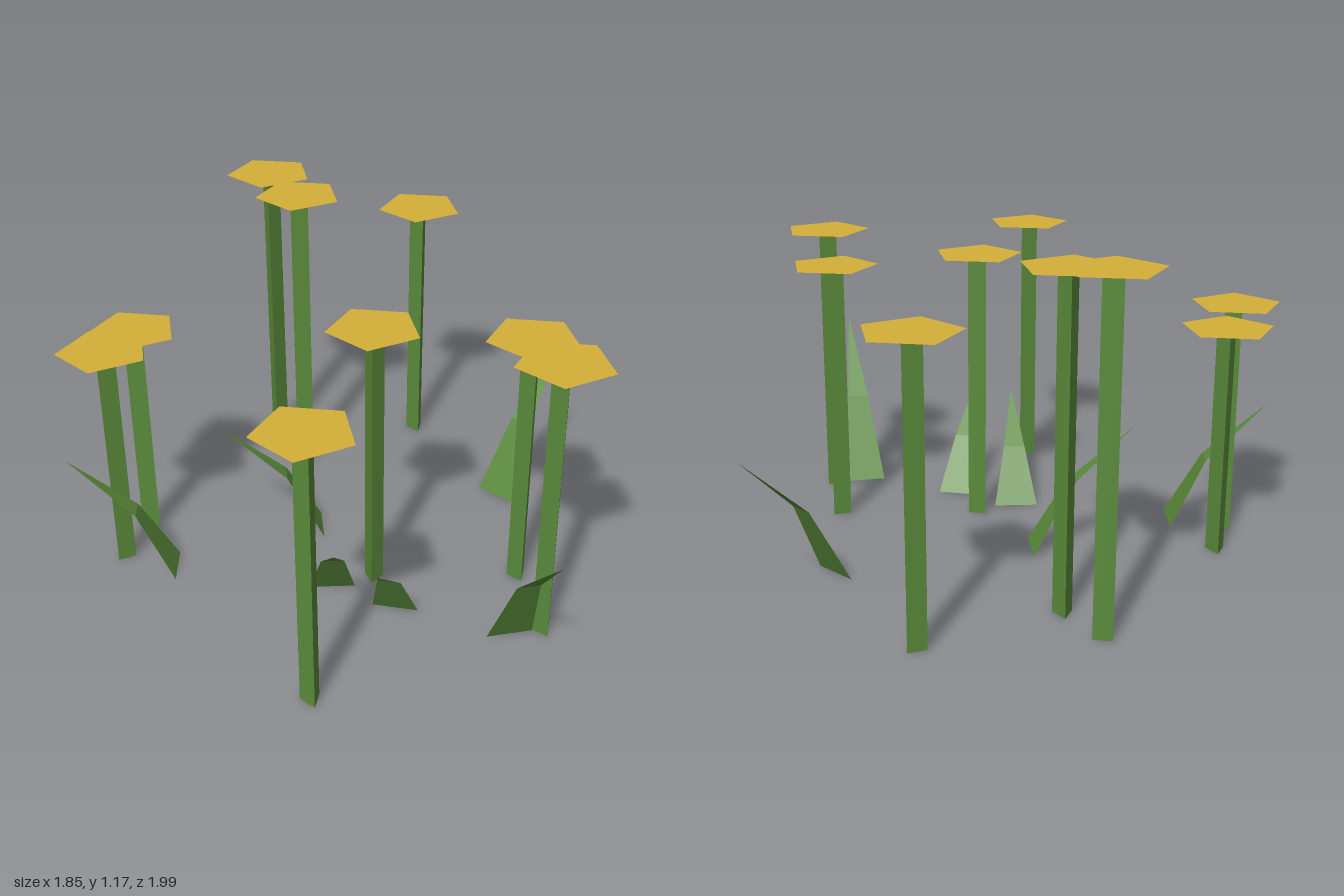
import * as THREE from 'three';

const rad = THREE.MathUtils.degToRad;

// Separate faces so that every facet is shaded flat
function faceted(geometry) {
  const g = geometry.index ? geometry.toNonIndexed() : geometry;
  g.computeVertexNormals();
  return g;
}

// Bent, tapering blade: wide base, half-width bend, pointed tip
function bladeGeometry(bx, bz, tx, tz, height) {
  const dx = tx - bx, dz = tz - bz, len = Math.hypot(dx, dz);
  const sx = -dz / len, sz = dx / len; // sideways direction
  const point = (t, y, half) => [bx + dx * t + sx * half, y, bz + dz * t + sz * half];
  const a = point(0, 0, -0.08), b = point(0, 0, 0.08);
  const c = point(0.36, height * 0.54, -0.04), d = point(0.36, height * 0.54, 0.04);
  const tip = point(1, height, 0);
  const g = new THREE.BufferGeometry();
  const corners = [a, c, b, b, c, d, c, tip, d].flat();
  g.setAttribute('position', new THREE.Float32BufferAttribute(corners, 3));
  return faceted(g);
}

export function createModel() {
  const model = new THREE.Group();
  model.name = 'flowerPatch';

  const green = new THREE.MeshStandardMaterial({ color: 0x5a8a3a, side: THREE.DoubleSide });
  green.name = 'leaf green';
  const gold = new THREE.MeshStandardMaterial({ color: 0xd4af37, side: THREE.DoubleSide });
  gold.name = 'petal gold';

  // Flowers: x, z, height, direction of one stem face in degrees
  const flowers = [
    [-0.18, -0.845, 1.0, -15],
    [-0.667, -0.53, 1.165, -44],
    [-0.495, -0.44, 1.135, 33],
    [0.576, -0.055, 0.955, -17],
    [0.76, 0.193, 1.025, -15],
    [0.115, 0.18, 0.995, -43],
    [-0.796, 0.24, 0.815, 30],
    [-0.76, 0.46, 0.845, 53],
    [0.215, 0.84, 0.99, -15],
  ];
  const head = new THREE.CircleGeometry(0.162, 5).rotateX(-Math.PI / 2);
  for (const [x, z, height, facing] of flowers) {
    const flower = new THREE.Group();
    flower.name = 'flower';
    flower.position.set(x, 0, z);

    // Three-sided stem
    const stemShape = new THREE.CylinderGeometry(0.0375, 0.0375, height, 3);
    const stem = new THREE.Mesh(faceted(stemShape), green);
    stem.name = 'stem';
    stem.position.y = height / 2;
    stem.rotation.y = rad(facing - 60);

    // Flat five-sided flower head
    const petals = new THREE.Mesh(head, gold);
    petals.name = 'flowerHead';
    petals.position.y = height + 0.002;

    flower.add(stem, petals);
    model.add(flower);
  }

  // Leaves: base x, base z, tip x, tip z, height
  const leaves = [
    [0.318, -0.508, 0.427, -0.876, 0.515],
    [-0.2, -0.03, -0.505, 0.16, 0.445],
    [-0.553, 0.431, -0.868, 0.595, 0.455],
    [0.008, 0.293, 0.163, 0.575, 0.365],
    [0.258, 0.303, 0.336, 0.617, 0.37],
    [0.665, 0.26, 0.92, 0.585, 0.575],
  ];
  for (const spec of leaves) {
    const leaf = new THREE.Mesh(bladeGeometry(...spec), green);
    leaf.name = 'leaf';
    model.add(leaf);
  }
  return model;
}
